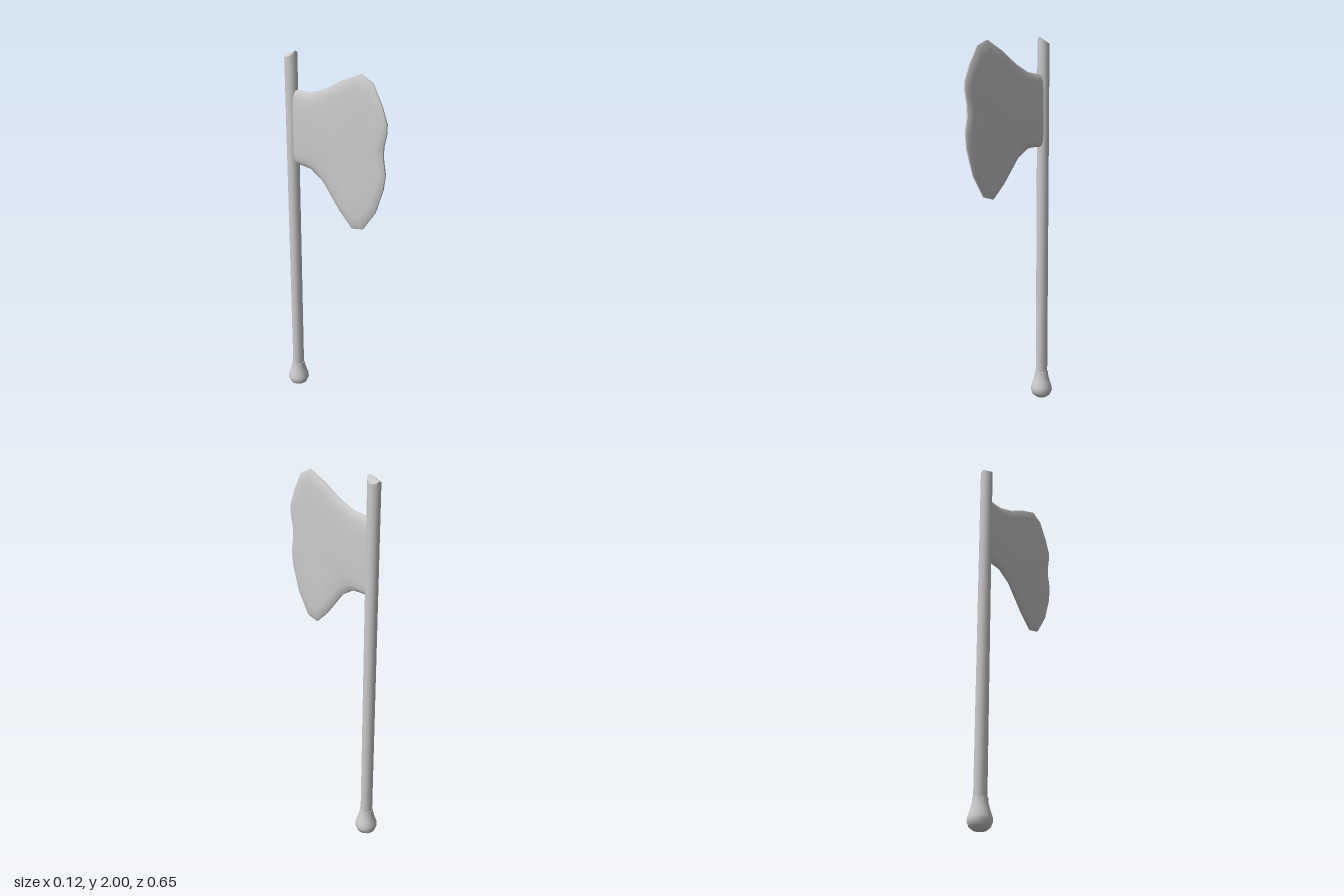
import * as THREE from 'three';
import { toCreasedNormals } from 'three/addons/utils/BufferGeometryUtils.js';

const HANDLE_Z = -0.265;

// Flat blade outline as [z, y], from the upper neck round the cutting edge to the lower neck.
const OUTLINE = [
  [HANDLE_Z, 1.805], [-0.2, 1.805], [-0.135, 1.81], [-0.04, 1.847], [0.06, 1.905], [0.17, 1.952],
  [0.24, 1.92], [0.294, 1.825], [0.325, 1.746], [0.325, 1.7], [0.31, 1.63],
  [0.31, 1.577], [0.325, 1.497], [0.315, 1.418], [0.272, 1.286], [0.198, 1.175],
  [0.13, 1.159], [0.05, 1.233], [-0.06, 1.365], [-0.14, 1.413], [-0.2, 1.418], [HANDLE_Z, 1.418],
];

// Nested copies of the outline, thick in the middle and thinning to a rounded rim.
function bladeGeometry() {
  const center = [0.1, 1.57];
  const half = [[0, 0.018], [0.6, 0.018], [0.85, 0.0165], [0.95, 0.012], [1, 0.004]];
  const rings = [...half, ...half.map(([s, x]) => [s, -x]).reverse()];
  const n = OUTLINE.length;
  const positions = [];
  const index = [];
  for (const [s, x] of rings) {
    for (const [z, y] of OUTLINE) {
      const neck = z === HANDLE_Z; // the neck stays inside the handle
      positions.push(
        x * (neck ? 1.25 : 1),
        center[1] + s * (y - center[1]),
        neck ? z : center[0] + s * (z - center[0]),
      );
    }
  }
  for (let j = 0; j < rings.length - 1; j++) {
    for (let i = 0; i < n; i++) {
      const k = (i + 1) % n;
      const a = j * n + i, b = a + n, c = (j + 1) * n + k, d = j * n + k;
      index.push(a, b, c, a, c, d);
    }
  }
  const geometry = new THREE.BufferGeometry();
  geometry.setAttribute('position', new THREE.Float32BufferAttribute(positions, 3));
  geometry.setIndex(index);
  return toCreasedNormals(geometry, 0.7);
}

// Round shaft whose top is cut to a small ridge, sloping down to the back.
function handleGeometry() {
  const radius = 0.033;
  const geometry = new THREE.CylinderGeometry(radius, radius, 1.86, 12);
  geometry.translate(0, 1.07, 0);
  const p = geometry.attributes.position;
  for (let i = 0; i < p.count; i++) {
    if (p.getY(i) > 1.9) {
      p.setY(i, 1.9875 + (0.0125 * p.getZ(i)) / radius - 0.6 * Math.abs(p.getX(i)));
    }
  }
  return toCreasedNormals(geometry, 0.6);
}

// Pear-shaped knob.
function pommelGeometry() {
  const profile = [
    [0, 0], [0.03, 0.005], [0.05, 0.02], [0.06, 0.045], [0.058, 0.065],
    [0.048, 0.095], [0.039, 0.125], [0.036, 0.155], [0, 0.155],
  ].map(([r, y]) => new THREE.Vector2(r, y));
  return toCreasedNormals(new THREE.LatheGeometry(profile, 20), 0.8);
}

export function createModel() {
  const group = new THREE.Group();
  group.name = 'axe';
  const material = new THREE.MeshStandardMaterial({ color: 0xcccccc });
  const add = (name, geometry, z = 0) => {
    const mesh = new THREE.Mesh(geometry, material);
    mesh.name = name;
    mesh.position.z = z;
    group.add(mesh);
  };
  add('handle', handleGeometry(), HANDLE_Z);
  add('pommel', pommelGeometry(), HANDLE_Z);
  add('blade', bladeGeometry());
  return group;
}
